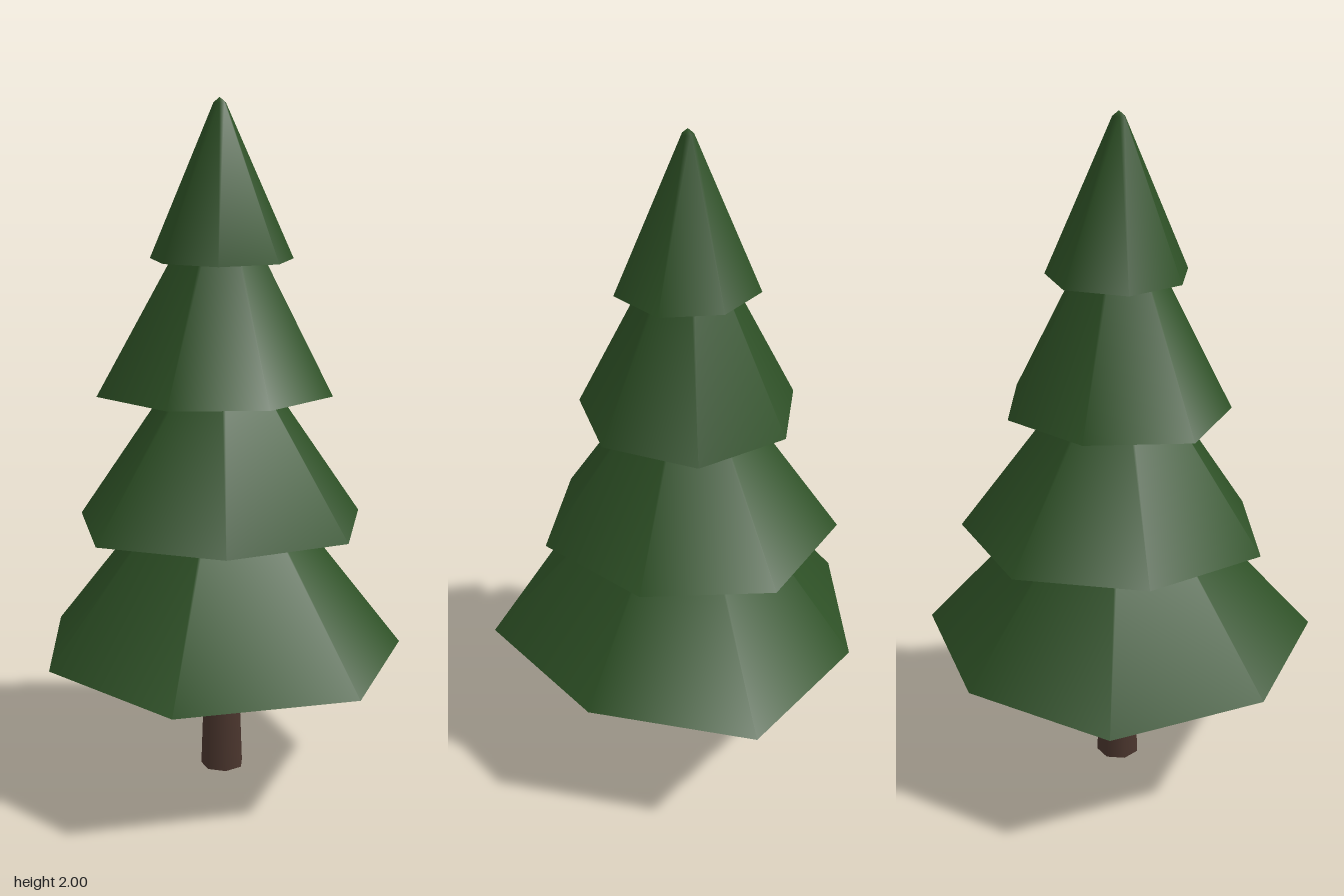
import * as THREE from 'three';

const CENTER = [-0.033, 0.038]; // trunk axis in x, z

// Each tier: rim height, top height, and an uneven seven-cornered rim as [x, z]
const TIERS = [
  { name: 'bottomFoliage', y: 0.39, top: 1.06, rim: [[-0.08, -0.57], [0.363, -0.33], [0.567, 0.128], [0.275, 0.565], [-0.233, 0.55], [-0.57, 0.205], [-0.472, -0.262]] },
  { name: 'lowerFoliage', y: 0.775, top: 1.38, rim: [[-0.178, -0.405], [0.202, -0.326], [0.412, -0.008], [0.266, 0.341], [-0.09, 0.49], [-0.4, 0.26], [-0.461, -0.122]] },
  { name: 'upperFoliage', y: 1.16, top: 1.77, rim: [[-0.254, -0.213], [0.026, -0.304], [0.257, -0.125], [0.263, 0.158], [0.056, 0.352], [-0.245, 0.333], [-0.364, 0.052]] },
  { name: 'topFoliage', y: 1.545, top: 1.985, rim: [[-0.084, -0.164], [0.096, -0.137], [0.181, 0.027], [0.108, 0.198], [-0.068, 0.235], [-0.221, 0.134], [-0.224, -0.052]] },
];

// Open, smooth-shaded skirt: rim, small blunt ring, tip
function skirtGeometry({ y, top, rim }) {
  const n = rim.length, [cx, cz] = CENTER, positions = [], index = [];
  for (const [x, z] of rim) positions.push(x, y, z);
  for (const [x, z] of rim) {
    const r = 0.018 / Math.hypot(x - cx, z - cz);
    positions.push(cx + (x - cx) * r, top, cz + (z - cz) * r);
  }
  positions.push(cx, top + 0.015, cz);
  for (let i = 0; i < n; i++) {
    const j = (i + 1) % n;
    index.push(j, i, n + i, j, n + i, n + j, n + j, n + i, 2 * n);
  }
  const geometry = new THREE.BufferGeometry();
  geometry.setAttribute('position', new THREE.Float32BufferAttribute(positions, 3));
  geometry.setIndex(index);
  geometry.computeVertexNormals();
  return geometry;
}

export function createModel() {
  const group = new THREE.Group();
  group.name = 'pineTree';

  const foliage = new THREE.MeshStandardMaterial({ color: 0x2d5025, side: THREE.DoubleSide });
  foliage.name = 'foliage green';
  const bark = new THREE.MeshStandardMaterial({ color: 0x4a352d });
  bark.name = 'bark brown';

  // Tapered trunk running up inside the foliage
  const trunk = new THREE.Mesh(new THREE.CylinderGeometry(0.03, 0.065, 0.95, 7), bark);
  trunk.name = 'trunk';
  trunk.position.set(-0.028, 0.475, CENTER[1]);
  group.add(trunk);

  // Stacked foliage skirts
  for (const tier of TIERS) {
    const mesh = new THREE.Mesh(skirtGeometry(tier), foliage);
    mesh.name = tier.name;
    group.add(mesh);
  }
  return group;
}
